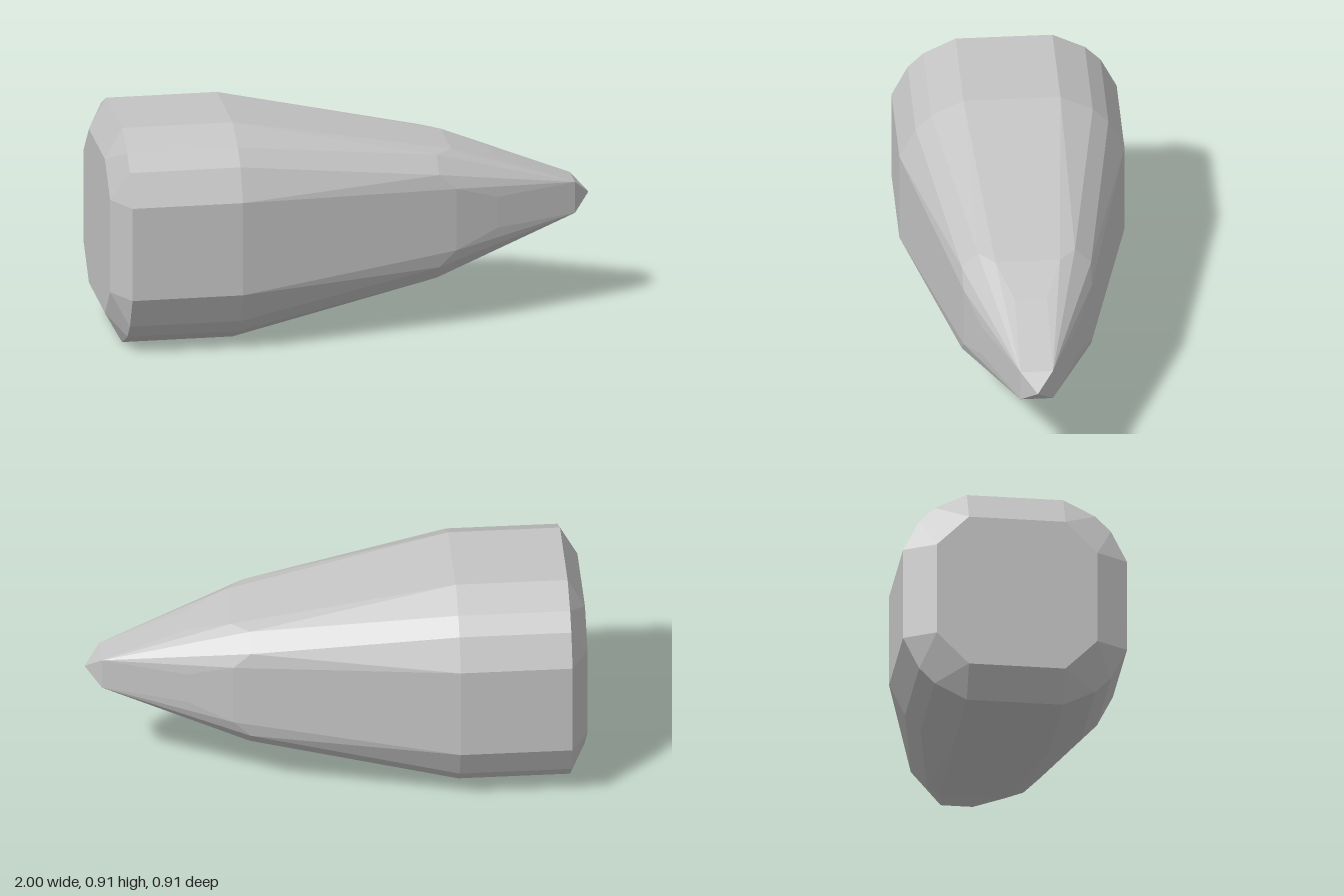
import * as THREE from 'three';
import { ConvexGeometry } from 'three/addons/geometries/ConvexGeometry.js';

// Cross-sections along x: centre height and one-eighth outline as [a, b] half extents.
// Each pair is mirrored about both axes and swapped to complete the ring.
const sections = [
  { x: -1.0, y: 0.455, pts: [[0.325, 0.195]] },
  { x: -0.93, y: 0.455, pts: [[0.453, 0.195], [0.388, 0.325]] },
  { x: -0.48, y: 0.455, pts: [[0.453, 0.195], [0.388, 0.325]] },
  { x: 0.35, y: 0.465, pts: [[0.26, 0.195]] },
  { x: 0.42, y: 0.467, pts: [[0.258, 0.13]] },
  { x: 0.6, y: 0.468, pts: [[0.195, 0.065]] },
  { x: 0.935, y: 0.47, pts: [[0.065, 0.065]] },
];

export function createModel() {
  const group = new THREE.Group();
  group.name = 'taperedShell';

  const grey = new THREE.MeshStandardMaterial({ color: 0xc4c4c4 });
  grey.name = 'plain grey';

  // Pointed tip, then every ring behind it
  const points = [new THREE.Vector3(1, 0.47, 0)];
  for (const { x, y, pts } of sections) {
    for (const [a, b] of pts) {
      for (const sy of [-1, 1]) {
        for (const sz of [-1, 1]) {
          points.push(new THREE.Vector3(x, y + sy * a, sz * b));
          if (a !== b) points.push(new THREE.Vector3(x, y + sy * b, sz * a));
        }
      }
    }
  }

  // Faceted closed body wrapped around the rings
  const body = new THREE.Mesh(new ConvexGeometry(points), grey);
  body.name = 'facetedBody';
  group.add(body);
  return group;
}
